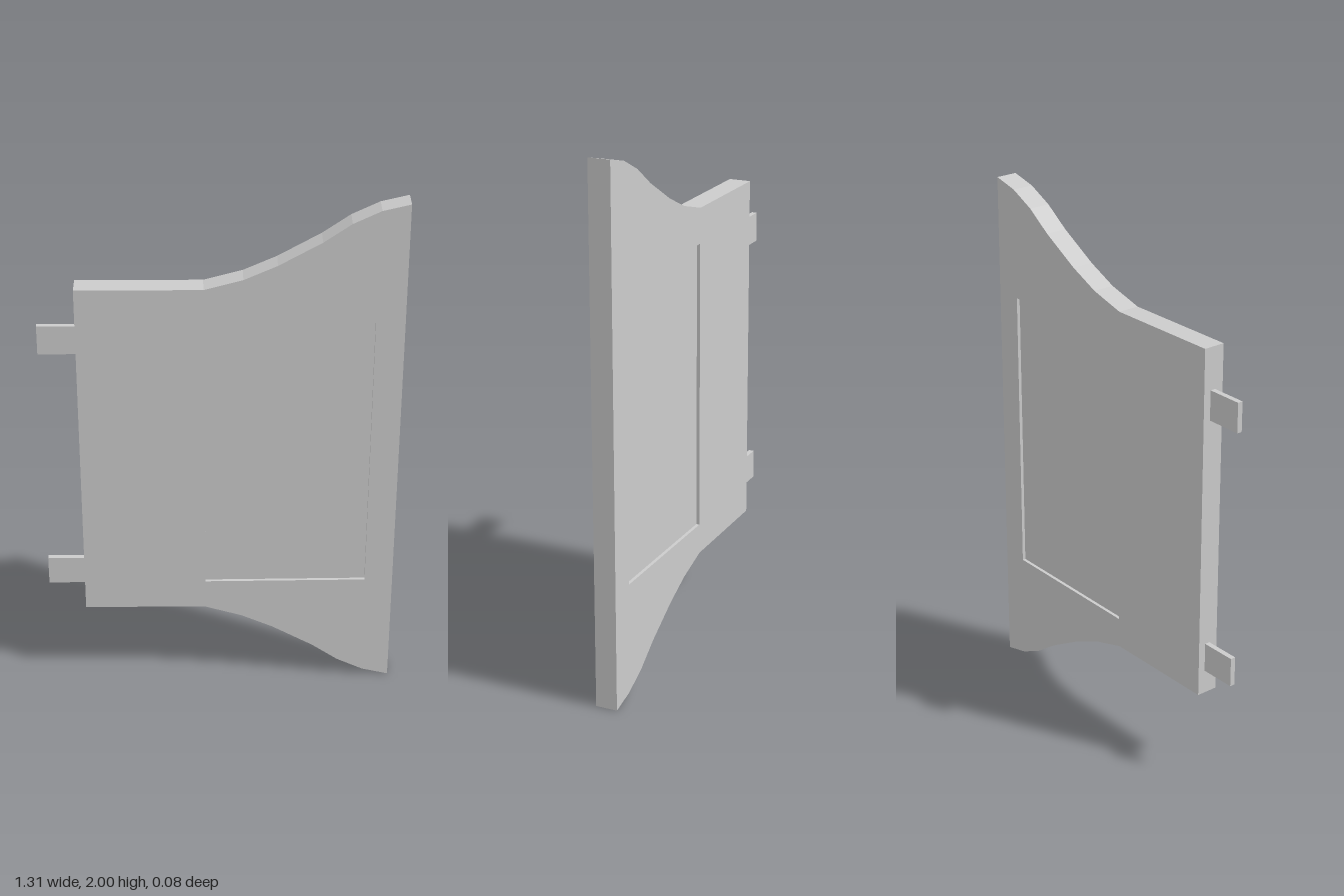
import * as THREE from 'three';

const material = new THREE.MeshStandardMaterial({ color: 0xcccccc });

// Flat plate cut from a shape, centred on z = 0
function plate(name, shape, thickness) {
  const geometry = new THREE.ExtrudeGeometry(shape, { depth: thickness, bevelEnabled: false });
  geometry.translate(0, 0, -thickness / 2);
  const mesh = new THREE.Mesh(geometry, material);
  mesh.name = name;
  return mesh;
}

const points = (list) => list.map(([x, y]) => new THREE.Vector2(x, y));

export function createModel() {
  const group = new THREE.Group();
  group.name = 'flaredPanel';

  // Upper edge, sweeping up to the tall side; the lower edge mirrors it
  const upper = [
    [-0.516, 1.678], [-0.06, 1.678], [0.08, 1.716], [0.2, 1.77], [0.355, 1.858],
    [0.455, 1.928], [0.555, 1.976], [0.655, 2],
  ];
  const lower = upper.map(([x, y]) => [x, 2 - y]).reverse();
  lower.forEach((p) => { if (p[0] < 0) p[1] = 0.326; });

  // Slightly skewed inset window
  const inset = [[-0.057, 0.443], [0.55, 0.448], [0.55, 1.555], [-0.057, 1.545]];

  // Body with an opening for the inset
  const body = new THREE.Shape(points([...upper, ...lower]));
  body.holes.push(new THREE.Path(points(inset)));
  group.add(plate('body', body, 0.083));

  // Thinner panel, recessed on both faces
  group.add(plate('insetPanel', new THREE.Shape(points(inset)), 0.058));

  // Two mounting tabs on the short side
  for (const [name, y] of [['upperTab', 1.464], ['lowerTab', 0.474]]) {
    const tab = new THREE.Mesh(new THREE.BoxGeometry(0.14, 0.112, 0.02), material);
    tab.name = name;
    tab.position.set(-0.585, y, -0.003);
    group.add(tab);
  }
  return group;
}
